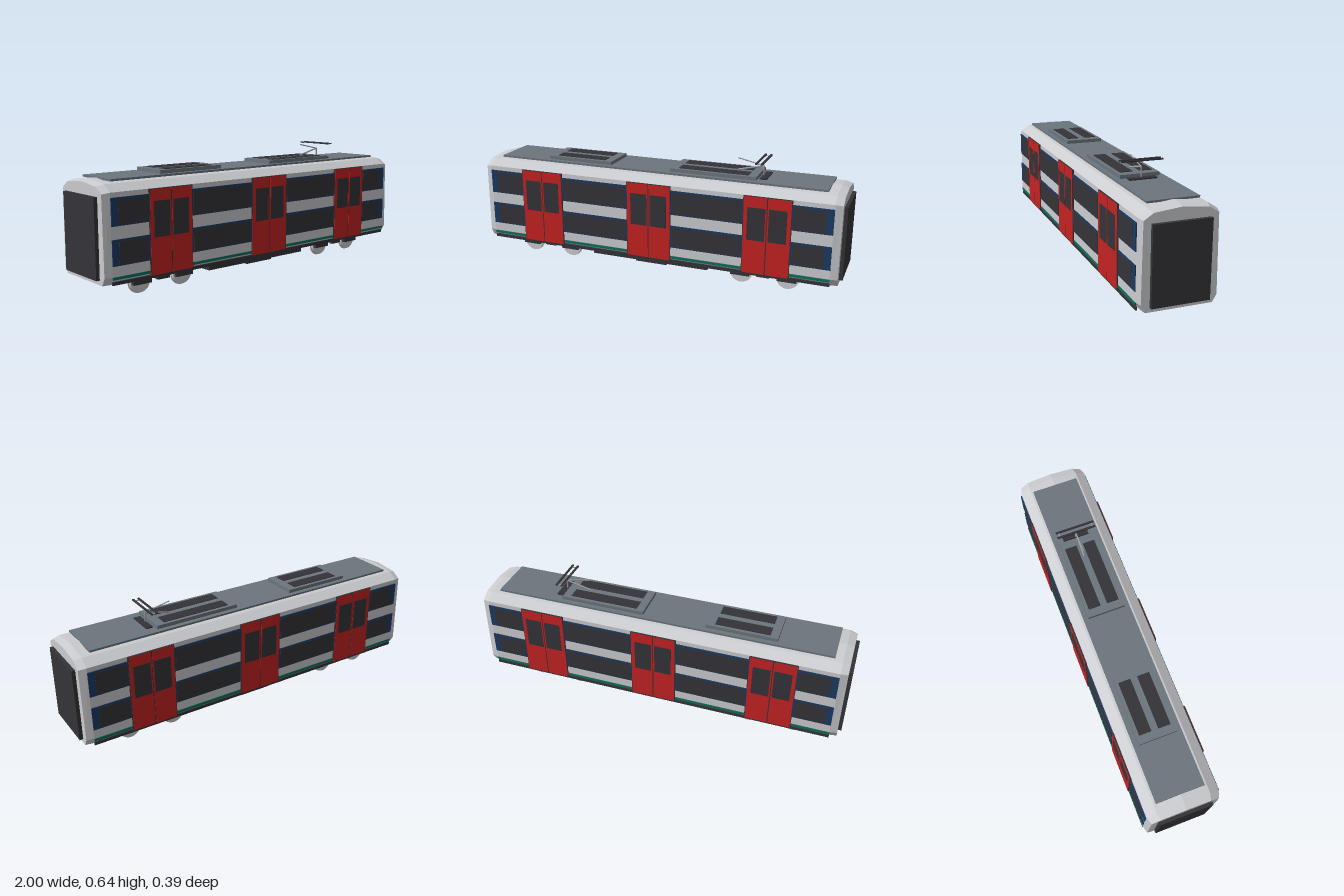
import * as THREE from 'three';

const paint = (name, color) => {
  const m = new THREE.MeshStandardMaterial({ color });
  m.name = name;
  return m;
};

export function createModel() {
  const train = new THREE.Group();
  train.name = 'railCar';
  const white = paint('body light grey', 0xcbccd0);
  const red = paint('door red', 0xc42222);
  const dark = paint('dark glass and rubber', 0x343338);
  const blue = paint('band blue', 0x1c3a62);
  const green = paint('stripe green', 0x0c6e5a);
  const grey = paint('roof grey', 0x6c757d);
  const metal = paint('arm metal', 0x9a9da2);

  const add = (name, geo, mat, parent = train) => {
    const m = new THREE.Mesh(geo, mat);
    m.name = name;
    parent.add(m);
    return m;
  };
  // box given by its limits on each axis
  const box = (name, mat, x0, x1, y0, y1, z0, z1, parent) => {
    const m = add(name, new THREE.BoxGeometry(x1 - x0, y1 - y0, z1 - z0), mat, parent);
    m.position.set((x0 + x1) / 2, (y0 + y1) / 2, (z0 + z1) / 2);
    return m;
  };
  // round bar between two points
  const bar = (name, mat, a, b, r, parent) => {
    const p = new THREE.Vector3(...a), q = new THREE.Vector3(...b);
    const m = add(name, new THREE.CylinderGeometry(r, r, p.distanceTo(q), 8), mat, parent);
    m.position.copy(p).add(q).multiplyScalar(0.5);
    m.quaternion.setFromUnitVectors(new THREE.Vector3(0, 1, 0), q.sub(p).normalize());
  };

  // body shell: loft of half sections [z, y], narrowed at both ends
  const full = [[0.166, 0.088], [0.19, 0.128], [0.186, 0.506], [0.137, 0.538], [0, 0.553]];
  const end = [[0.16, 0.088], [0.18, 0.125], [0.174, 0.5], [0.128, 0.53], [0, 0.543]];
  const ring = (x, half) => [...half, ...half.slice(0, -1).reverse().map(([z, y]) => [-z, y])]
    .map(([z, y]) => [x, y, z]);
  const rings = [ring(-0.982, end), ring(-0.945, full), ring(0.945, full), ring(0.982, end)];
  const n = rings[0].length, pos = [];
  const tri = (...corners) => corners.forEach((c) => pos.push(...c));
  for (let i = 0; i < 3; i++) {
    for (let j = 0; j < n; j++) {
      const k = (j + 1) % n;
      tri(rings[i][j], rings[i + 1][j], rings[i + 1][k]);
      tri(rings[i][j], rings[i + 1][k], rings[i][k]);
    }
  }
  for (let j = 1; j < n - 1; j++) {
    tri(rings[0][0], rings[0][j], rings[0][j + 1]);
    tri(rings[3][0], rings[3][j + 1], rings[3][j]);
  }
  const shell = new THREE.BufferGeometry();
  shell.setAttribute('position', new THREE.Float32BufferAttribute(pos, 3));
  shell.computeVertexNormals();
  add('bodyShell', shell, white);

  // gangway at each end
  for (const s of [-1, 1]) {
    box('gangway', dark, Math.min(s * 0.97, s), Math.max(s * 0.97, s), 0.11, 0.485, -0.139, 0.139);
  }

  // both sides: bands, windows, stripe, sill and doors
  const doorX = [-0.625, 0, 0.625];
  const windowSpans = [[-0.91, -0.755], [-0.495, -0.13], [0.13, 0.495], [0.755, 0.91]];
  for (const s of [1, -1]) {
    const side = new THREE.Group();
    side.name = s > 0 ? 'frontSide' : 'backSide';
    side.rotation.y = s > 0 ? 0 : Math.PI;
    train.add(side);
    for (const [y0, y1] of [[0.175, 0.295], [0.355, 0.483]]) {
      box('blueBand', blue, -0.945, 0.945, y0, y1, 0.184, 0.1922, side);
      for (const [x0, x1] of windowSpans) {
        box('window', dark, x0, x1, y0 + 0.004, y1 - 0.009, 0.186, 0.1936, side);
      }
    }
    box('greenStripe', green, -0.945, 0.945, 0.113, 0.126, 0.184, 0.1922, side);
    box('sill', dark, -0.945, 0.945, 0.088, 0.104, 0.18, 0.188, side);
    for (const x of doorX) {
      box('doorFrame', dark, x - 0.122, x + 0.122, 0.1, 0.505, 0.185, 0.194, side);
      for (const d of [-1, 1]) {
        const c = x + d * 0.0605;
        box('doorLeaf', red, c - 0.058, c + 0.058, 0.102, 0.503, 0.187, 0.1955, side);
        const w = x + d * 0.054;
        box('doorWindow', dark, w - 0.045, w + 0.045, 0.278, 0.448, 0.189, 0.1963, side);
      }
    }
  }

  // roof panel and equipment covers with vents
  box('roofPanel', grey, -0.905, 0.9, 0.546, 0.556, -0.125, 0.125);
  for (const [x0, x1] of [[-0.62, -0.25], [0.085, 0.54]]) {
    box('roofUnit', grey, x0, x1, 0.554, 0.574, -0.1, 0.1);
    for (const z of [-0.05, 0.05]) {
      box('roofVent', dark, x0 + 0.042, x1 - 0.045, 0.57, 0.5765, z - 0.032, z + 0.032);
    }
  }

  // current collector
  const arm = new THREE.Group();
  arm.name = 'currentCollector';
  train.add(arm);
  box('collectorBase', dark, 0.55, 0.585, 0.554, 0.562, -0.07, 0.07, arm);
  bar('lowerArm', metal, [0.42, 0.577, 0], [0.555, 0.61, 0], 0.0045, arm);
  bar('upperArm', metal, [0.555, 0.61, 0], [0.42, 0.638, 0], 0.003, arm);
  bar('collectorPost', metal, [0.555, 0.558, 0], [0.555, 0.61, 0], 0.004, arm);
  for (const x of [0.537, 0.566]) box('contactStrip', dark, x - 0.005, x + 0.005, 0.639, 0.645, -0.105, 0.105, arm);
  for (const z of [-0.09, 0.09]) box('stripLink', metal, 0.53, 0.572, 0.637, 0.64, z - 0.003, z + 0.003, arm);

  // bogies: wheels with inner flanges, axles, bearing boxes and beams
  for (const cx of [-0.627, 0.602]) {
    const bogie = new THREE.Group();
    bogie.name = 'bogie';
    bogie.position.x = cx;
    train.add(bogie);
    for (const dx of [-0.122, 0.122]) {
      bar('axle', dark, [dx, 0.06, -0.1], [dx, 0.06, 0.1], 0.012, bogie);
      for (const s of [-1, 1]) {
        const wheel = add('wheel', new THREE.CylinderGeometry(0.055, 0.055, 0.016, 24), white, bogie);
        wheel.rotation.x = Math.PI / 2;
        wheel.position.set(dx, 0.06, s * 0.099);
        const flange = add('wheelFlange', new THREE.CylinderGeometry(0.06, 0.06, 0.004, 24), white, bogie);
        flange.rotation.x = Math.PI / 2;
        flange.position.set(dx, 0.06, s * 0.09);
        box('bearingBox', dark, dx - 0.05, dx + 0.05, 0.05, 0.088, s * 0.119 - 0.01, s * 0.119 + 0.01, bogie);
      }
    }
    for (const s of [-1, 1]) {
      box('sideBeam', dark, -0.09, 0.09, 0.072, 0.089, s * 0.119 - 0.006, s * 0.119 + 0.006, bogie);
      box('spring', dark, -0.035, 0.035, 0.055, 0.089, s * 0.116 - 0.01, s * 0.116 + 0.01, bogie);
    }
    box('crossBeam', dark, -0.05, 0.05, 0.062, 0.089, -0.11, 0.11, bogie);
  }

  // equipment under the floor
  box('floorBoxRight', dark, -0.355, -0.04, 0.05, 0.089, -0.13, 0.13);
  box('floorBoxLeft', dark, 0.01, 0.305, 0.05, 0.089, -0.13, 0.13);
  box('floorDuct', dark, -0.1, 0.075, 0.042, 0.089, 0.085, 0.128);
  box('floorDuct', dark, -0.1, 0.075, 0.042, 0.089, -0.128, -0.085);
  return train;
}
